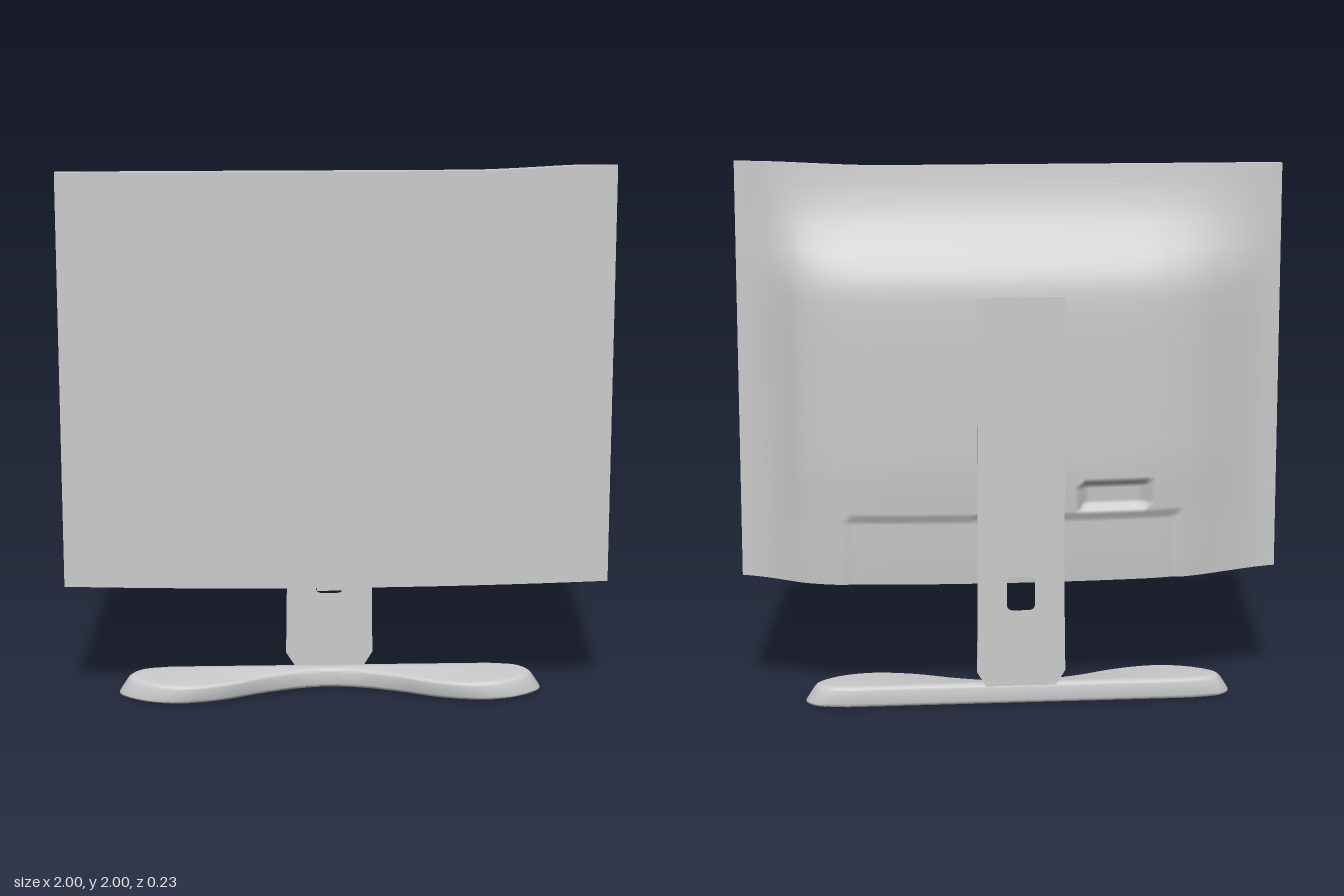
import * as THREE from 'three';
import { toCreasedNormals } from 'three/addons/utils/BufferGeometryUtils.js';

const FRONT = 0.114;
const grey = () => new THREE.MeshStandardMaterial({ color: 0xcccccc, side: THREE.DoubleSide });

function add(parent, name, geometry) {
  const mesh = new THREE.Mesh(geometry, grey());
  mesh.name = name;
  parent.add(mesh);
  return mesh;
}

// Smooth profile through [position, value] knots
function profile(knots) {
  const pts = new THREE.SplineCurve(knots.map(k => new THREE.Vector2(...k))).getPoints(300);
  return t => {
    let i = 1;
    while (i < pts.length - 1 && pts[i].x < t) i++;
    const a = pts[i - 1], b = pts[i];
    const f = THREE.MathUtils.clamp((t - a.x) / (b.x - a.x || 1), 0, 1);
    return a.y + (b.y - a.y) * f;
  };
}

// Grid surface from fn(u, v) -> [x, y, z]; front side is du x dv
function sheet(nu, nv, fn) {
  const pos = [], idx = [];
  for (let j = 0; j <= nv; j++) for (let i = 0; i <= nu; i++) pos.push(...fn(i / nu, j / nv));
  for (let j = 0; j < nv; j++) for (let i = 0; i < nu; i++) {
    const a = j * (nu + 1) + i, b = a + nu + 1;
    idx.push(a, a + 1, b + 1, a, b + 1, b);
  }
  const g = new THREE.BufferGeometry();
  g.setAttribute('position', new THREE.Float32BufferAttribute(pos, 3));
  g.setIndex(idx);
  g.computeVertexNormals();
  return g;
}

// Back shell: vertical depth profile, spread sideways by a bulge profile
const depthAt = profile([[0.43, 0.168], [0.55, 0.18], [0.7, 0.192], [0.9, 0.208], [1.2, 0.211], [1.45, 0.21],
  [1.56, 0.2], [1.64, 0.168], [1.72, 0.118], [1.8, 0.079], [1.88, 0.056], [1.95, 0.045], [2.0, 0.04]]);
const bulgeAt = profile([[-1, 0], [-0.92, 0.11], [-0.8, 0.42], [-0.7, 0.69], [-0.6, 0.86], [-0.45, 0.965], [0, 1],
  [0.45, 0.97], [0.6, 0.9], [0.7, 0.78], [0.78, 0.58], [0.84, 0.3], [0.9, 0.11], [1, 0]]);
const { smoothstep } = THREE.MathUtils;
const topAt = x => 1.978 + 0.02 * smoothstep(x, 0.45, 1);
const bottomAt = x => 0.444 + 0.016 * x * x;

function backZ(x, y) {
  const rim = 0.04 - 0.034 * smoothstep(x, 0.83, 1);
  let t = rim + (depthAt(y) - rim) * bulgeAt(x);
  // horizontal seam and connector recess
  if (y < 0.705 && Math.abs(x) < 0.62) t -= 0.012;
  if (x > -0.5 && x < -0.24 && y > 0.73 && y < 0.82) t -= 0.04;
  return FRONT - t;
}

function buildScreen() {
  const screen = new THREE.Group();
  screen.name = 'screen';
  const N = 100;
  const X = u => u * 2 - 1;
  const Y = (x, v) => THREE.MathUtils.lerp(bottomAt(x), topAt(x), v);
  const Z = (x, y, w) => THREE.MathUtils.lerp(FRONT, backZ(x, y), w);

  add(screen, 'displayPanel', sheet(N, 1, (u, v) => [X(u), Y(X(u), v), FRONT]));
  add(screen, 'backShell', sheet(N, N, (u, v) => {
    const x = X(1 - u), y = Y(x, v);
    return [x, y, backZ(x, y)];
  }));
  // rims joining the panel to the shell
  for (const [name, v] of [['topRim', 1], ['bottomRim', 0]]) {
    add(screen, name, sheet(N, 1, (u, w) => {
      const x = X(v ? u : 1 - u), y = Y(x, v);
      return [x, y, Z(x, y, w)];
    }));
  }
  for (const [name, x] of [['leftRim', 1], ['rightRim', -1]]) {
    add(screen, name, sheet(1, N, (w, v) => {
      const y = Y(x, v);
      return [x, y, Z(x, y, x > 0 ? w : 1 - w)];
    }));
  }
  add(screen, 'bottomLip', new THREE.BoxGeometry(0.11, 0.02, 0.03)).position.set(-0.02, 0.443, FRONT - 0.017);
  return screen;
}

// Flat upright with a rounded cable opening and a chamfered foot
function buildNeck() {
  const shape = new THREE.Shape([[-0.13, 0.07], [0.13, 0.07], [0.163, 0.125], [0.16, 0.45], [0.16, 1.52],
    [-0.16, 1.52], [-0.16, 0.45], [-0.165, 0.125]].map(p => new THREE.Vector2(...p)));
  const hole = new THREE.Path();
  const w = 0.052, lo = 0.357, hi = 0.485, r = 0.025;
  hole.moveTo(-w + r, lo);
  hole.lineTo(w - r, lo).quadraticCurveTo(w, lo, w, lo + r);
  hole.lineTo(w, hi - r).quadraticCurveTo(w, hi, w - r, hi);
  hole.lineTo(-w + r, hi).quadraticCurveTo(-w, hi, -w, hi - r);
  hole.lineTo(-w, lo + r).quadraticCurveTo(-w, lo, -w + r, lo);
  shape.holes.push(hole);
  const g = new THREE.ExtrudeGeometry(shape, { depth: 0.005, bevelEnabled: false });
  g.translate(-0.02, 0, -0.116);
  return g;
}

// Two-lobed foot: straight back edge, narrow waist
function buildBase() {
  const half = [[0, -0.075], [0.1, -0.062], [0.25, -0.01], [0.42, 0.07], [0.58, 0.1], [0.71, 0.06],
    [0.785, -0.02], [0.75, -0.075], [0.64, -0.1]];
  const loop = [...half.slice(1).reverse().map(([x, z]) => [-x, z]), ...half];
  const curve = new THREE.CatmullRomCurve3(loop.map(([x, z]) => new THREE.Vector3(x, -z, 0)), false, 'centripetal');
  const shape = new THREE.Shape(curve.getPoints(90).map(p => new THREE.Vector2(p.x, p.y)));
  const g = new THREE.ExtrudeGeometry(shape, {
    depth: 0.045, bevelThickness: 0.015, bevelSize: 0.015, bevelSegments: 3,
  });
  g.rotateX(-Math.PI / 2).translate(0, 0.015, 0);
  // draw the upper edge inwards at the ends and let the top dip to the front
  const p = g.attributes.position;
  for (let i = 0; i < p.count; i++) {
    const y = p.getY(i), k = y / 0.075;
    p.setX(i, p.getX(i) * (1 - 0.06 * k));
    p.setY(i, y + k * (0.003 - 0.04 * (p.getZ(i) + 0.115)));
  }
  g.translate(-0.02, 0, 0);
  return toCreasedNormals(g, 0.6);
}

export function createModel() {
  const model = new THREE.Group();
  model.name = 'monitor';
  model.add(buildScreen());
  add(model, 'neck', buildNeck());
  add(model, 'base', buildBase());
  return model;
}
